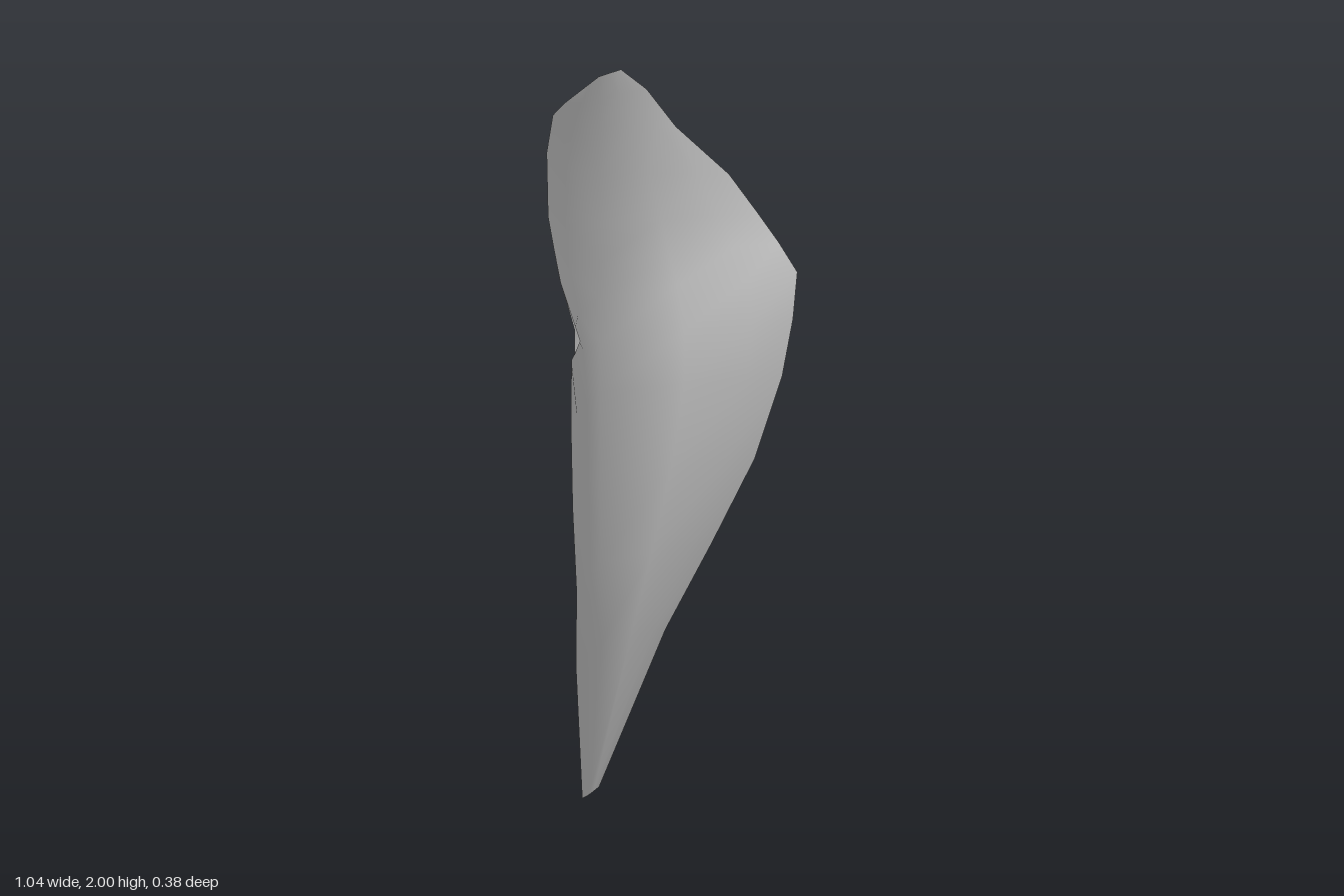
import * as THREE from 'three';

export function createModel() {
  const group = new THREE.Group();
  group.name = 'petalModel';
  const grey = new THREE.MeshStandardMaterial({ color: 0xcccccc, side: THREE.DoubleSide });
  grey.name = 'pale grey';

  // Rims from base to tip, one point per rib
  const leftRim = [
    [0.05, 0.01, -0.19], [0.22, 0.45, -0.08], [0.335, 0.69, 0.0], [0.415, 0.93, 0.09],
    [0.475, 1.16, 0.14], [0.505, 1.32, 0.155], [0.52, 1.45, 0.158], [0.5, 1.53, 0.11],
    [0.47, 1.61, 0.06], [0.41, 1.72, 0.0], [0.28, 1.85, -0.09], [0.19, 1.95, -0.125],
    [0.1, 2.0, -0.145],
  ];
  const rightRim = [
    [-0.03, 0, -0.19], [-0.2, 0.45, -0.08], [-0.3, 0.68, 0.0], [-0.38, 0.92, 0.05],
    [-0.45, 1.15, 0.1], [-0.505, 1.31, 0.145], [-0.525, 1.36, 0.187], [-0.485, 1.49, 0.1],
    [-0.43, 1.64, 0.02], [-0.35, 1.79, -0.045], [-0.26, 1.88, -0.095], [-0.18, 1.91, -0.12],
    [-0.09, 1.94, -0.14],
  ];
  // Height of the central fold at each rib, and how far the rib bows backwards
  const foldY = [0, 0.45, 0.68, 0.92, 1.15, 1.28, 1.4, 1.49, 1.6, 1.73, 1.85, 1.92, 1.98];
  const bow = [0, 0, 0, 0, 0, 0.015, 0.043, 0.045, 0.039, 0.033, 0.012, 0.005, 0];

  // Straight ribs below, rounded ribs above: rim, two points, fold, two points, rim
  const points = [];
  foldY.forEach((y, i) => {
    const fold = new THREE.Vector3(0.005, y, i === 0 ? -0.192 : -0.147);
    const between = (rim, t, share) => {
      const p = fold.clone().lerp(rim, t);
      p.z -= bow[i] * share;
      return p;
    };
    const right = new THREE.Vector3(...rightRim[i]);
    const left = new THREE.Vector3(...leftRim[i]);
    points.push(
      right, between(right, 0.8, 0.7), between(right, 0.45, 1), fold,
      between(left, 0.45, 1), between(left, 0.8, 0.7), left,
    );
  });

  const cols = 7;
  const index = [];
  for (let r = 0; r < foldY.length - 1; r++) {
    for (let c = 0; c < cols - 1; c++) {
      const a = r * cols + c, b = a + 1, d = a + cols, e = d + 1;
      // Mirror the diagonals about the fold
      if (c < 3) index.push(a, b, d, b, e, d);
      else index.push(a, b, e, a, e, d);
    }
  }
  const geometry = new THREE.BufferGeometry().setFromPoints(points);
  geometry.setIndex(index);
  geometry.computeVertexNormals();

  const petal = new THREE.Mesh(geometry, grey);
  petal.name = 'petal';
  group.add(petal);
  return group;
}
